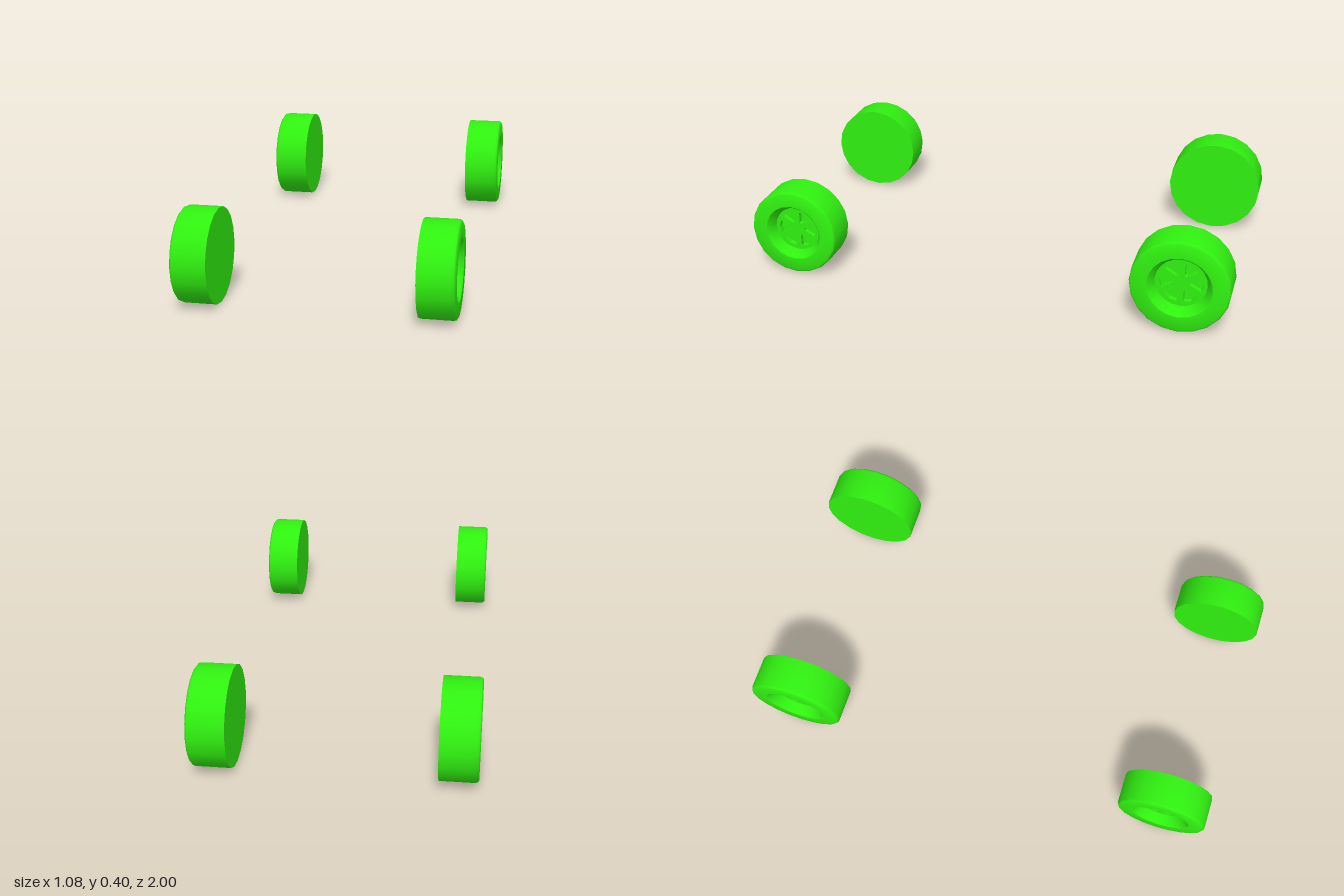
import * as THREE from 'three';
import { toCreasedNormals } from 'three/addons/utils/BufferGeometryUtils.js';

const SIDES = 20;
const green = new THREE.MeshStandardMaterial({ color: 0x30f010 });

// Tyre with closed inner face, rounded outer shoulder and recessed rim bowl; axle along +x
function tyreGeometry(r, w) {
  const profile = [
    [0, 0], [r, 0], [r, w - 0.07 * r], [0.985 * r, w - 0.025 * r], [0.95 * r, w],
    [0.65 * r, w], [0.62 * r, w - 0.03 * r], [0.52 * r, w - 0.22 * r],
    [0.5 * r, w - 0.42 * r], [0, w - 0.42 * r],
  ].map(([x, y]) => new THREE.Vector2(x, y));
  const geo = new THREE.LatheGeometry(profile, SIDES);
  geo.rotateZ(-Math.PI / 2);
  return toCreasedNormals(geo, Math.PI / 5);
}

// Rim disc pierced by tapered windows, leaving spokes around a hub
function rimGeometry(r, spokes = 6) {
  const shape = new THREE.Shape();
  shape.absarc(0, 0, 0.53 * r, 0, Math.PI * 2, false);
  const step = (Math.PI * 2) / spokes;
  for (let i = 0; i < spokes; i++) {
    const mid = i * step;
    const corner = (rad, a) => new THREE.Vector2(Math.cos(mid + a) * rad * r, Math.sin(mid + a) * rad * r);
    shape.holes.push(new THREE.Path([
      corner(0.17, -0.15), corner(0.42, -0.36), corner(0.44, 0),
      corner(0.42, 0.36), corner(0.17, 0.15),
    ]));
  }
  const geo = new THREE.ExtrudeGeometry(shape, { depth: 0.1 * r, bevelEnabled: false, curveSegments: SIDES });
  geo.rotateY(Math.PI / 2);
  return geo;
}

function makeWheel(name, r, w) {
  const wheel = new THREE.Group();
  wheel.name = name;
  const tyre = new THREE.Mesh(tyreGeometry(r, w), green);
  tyre.name = 'tyre';
  const rim = new THREE.Mesh(rimGeometry(r), green);
  rim.name = 'spokedRim';
  rim.position.x = w - 0.33 * r;
  wheel.add(tyre, rim);
  return wheel;
}

export function createModel() {
  const model = new THREE.Group();
  model.name = 'wheelSet';
  // Rear wheels are slightly larger and wider than the front ones
  const axles = [
    { name: 'front', r: 0.186, w: 0.14, x: 0.385, z: 0.814 },
    { name: 'rear', r: 0.198, w: 0.15, x: 0.39, z: -0.802 },
  ];
  for (const { name, r, w, x, z } of axles) {
    for (const side of [1, -1]) {
      const wheel = makeWheel(name + (side > 0 ? 'Left' : 'Right') + 'Wheel', r, w);
      wheel.position.set(side * x, r, z);
      if (side < 0) wheel.rotation.y = Math.PI;
      model.add(wheel);
    }
  }
  return model;
}
